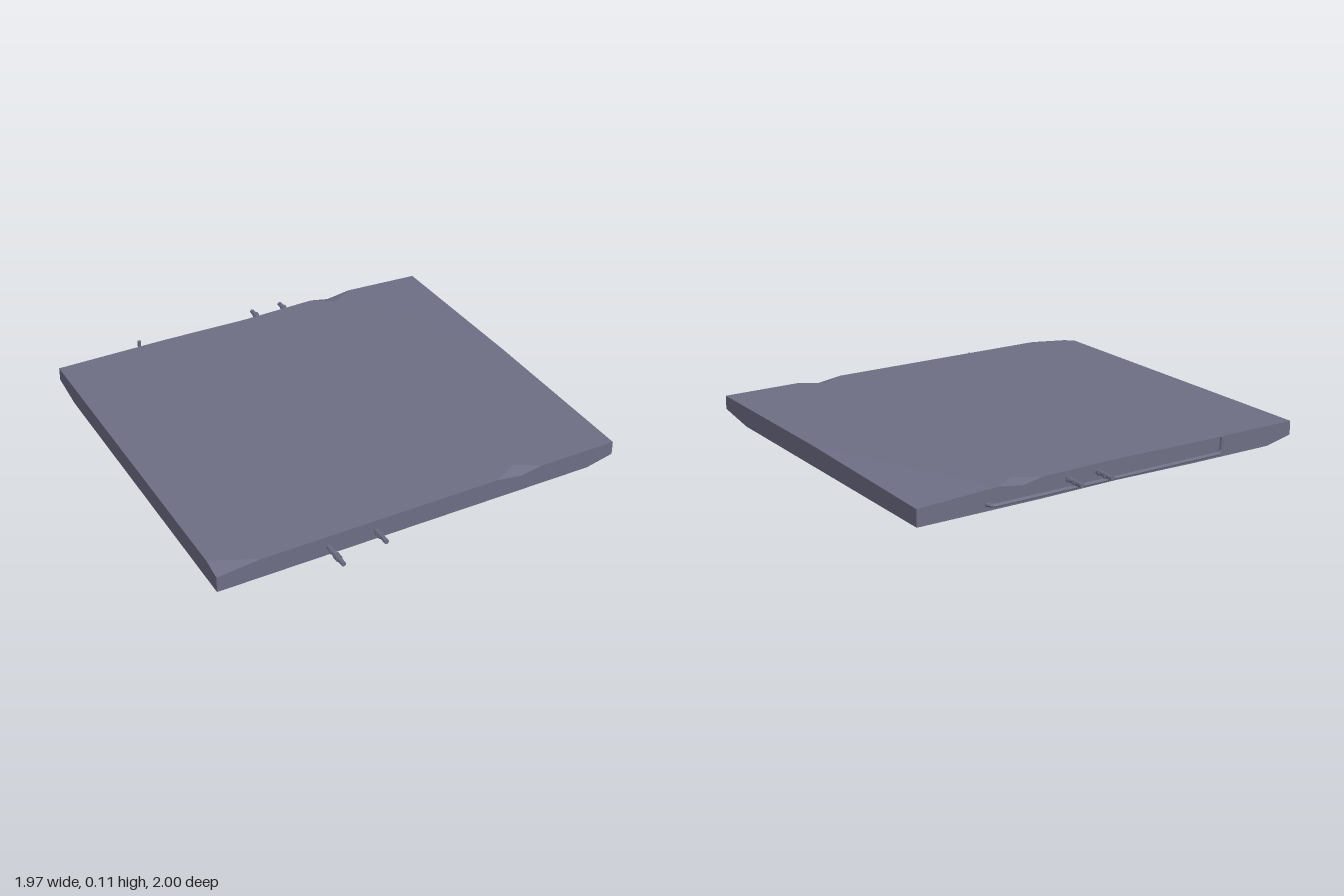
import * as THREE from 'three';

const H = 0.095;
const material = new THREE.MeshStandardMaterial({ color: 0x6e6e85, flatShading: true });

// Rim points, counter-clockwise from above. t / b give a chip in the top or
// bottom edge: [y at the rim, x and z where the chip reaches the flat face].
const rim = [
  { p: [-0.985, 0.865], t: [0.075, -0.88, 0.818] },
  { p: [-0.78, 0.865] },
  { p: [0.37, 0.865] },
  { p: [0.49, 0.865], t: [0.077, 0.49, 0.8] },
  { p: [0.6, 0.865] },
  { p: [0.85, 0.865] },
  { p: [0.983, 0.865], b: [0.03, 0.916, 0.758] },
  { p: [0.983, 0.65] },
  { p: [0.983, -0.03] },
  { p: [0.983, -0.9], t: [0.078, 0.79, -0.465] },
  { p: [0.6, -0.9] },
  { p: [0.475, -0.9], t: [0.077, 0.49, -0.83] },
  { p: [0.38, -0.9] },
  { p: [0, -0.888] },
  { p: [-0.42, -0.9] },
  { p: [-0.85, -0.9] },
  { p: [-0.985, -0.9], b: [0.03, -0.918, -0.81] },
  { p: [-0.985, -0.72] },
  { p: [-0.985, 0.77] },
];

// Slab skin: bottom fan, bottom chips, sides, top chips, top fan
function slabGeometry() {
  const columns = rim.map(({ p: [x, z], t = [H, x, z], b = [0, x, z] }) => [
    [0, 0, 0],
    [b[1], 0, b[2]],
    [x, b[0], z],
    [x, t[0], z],
    [t[1], H, t[2]],
    [0, H, 0],
  ]);
  const positions = [];
  const triangle = (...corners) => {
    const [a, b, c] = corners.map((v) => new THREE.Vector3(...v));
    const area = b.clone().sub(a).cross(c.clone().sub(a)).length();
    if (area > 1e-7) corners.forEach((v) => positions.push(...v));
  };
  columns.forEach((c, i) => {
    const d = columns[(i + 1) % columns.length];
    for (let k = 0; k < c.length - 1; k++) {
      triangle(c[k], d[k], d[k + 1]);
      triangle(c[k], d[k + 1], c[k + 1]);
    }
  });
  const geometry = new THREE.BufferGeometry();
  geometry.setAttribute('position', new THREE.Float32BufferAttribute(positions, 3));
  geometry.computeVertexNormals();
  return geometry;
}

// Straight bar along z with raised ribs
function ribbedBar(name, x, y, zStart, zEnd, ribs) {
  const bar = new THREE.Group();
  bar.name = name;
  const addPiece = (part, radius, length, z) => {
    const geometry = new THREE.CylinderGeometry(radius, radius, length, 8);
    const mesh = new THREE.Mesh(geometry.rotateX(Math.PI / 2), material);
    mesh.name = part;
    mesh.position.set(x, y, z);
    bar.add(mesh);
  };
  addPiece('barCore', 0.011, Math.abs(zEnd - zStart), (zStart + zEnd) / 2);
  ribs.forEach((z) => addPiece('barRib', 0.016, 0.01, z));
  return bar;
}

// Thin bar that leaves the back face, runs along it and turns up at its end
function bentBar() {
  const bar = new THREE.Group();
  bar.name = 'bentBar';
  const points = [
    [0.655, 0.03, -0.88],
    [0.655, 0.03, -0.905],
    [0.643, 0.03, -0.924],
    [0.622, 0.03, -0.93],
    [-0.545, 0.03, -0.93],
    [-0.556, 0.042, -0.93],
    [-0.556, 0.107, -0.93],
  ].map((v) => new THREE.Vector3(...v));
  const path = new THREE.CurvePath();
  for (let i = 1; i < points.length; i++) path.add(new THREE.LineCurve3(points[i - 1], points[i]));
  const tube = new THREE.Mesh(new THREE.TubeGeometry(path, 160, 0.009, 8), material);
  tube.name = 'bentBarTube';
  const tip = new THREE.Mesh(new THREE.CircleGeometry(0.009, 8).rotateX(-Math.PI / 2), material);
  tip.name = 'bentBarTip';
  tip.position.copy(points[points.length - 1]);
  bar.add(tube, tip);
  return bar;
}

export function createModel() {
  const model = new THREE.Group();
  model.name = 'brokenSlab';

  const slab = new THREE.Mesh(slabGeometry(), material);
  slab.name = 'slab';
  model.add(slab);

  // Bars sticking out of the front and back faces
  model.add(ribbedBar('longFrontBar', -0.47, 0.043, 0.84, 1, [0.9, 0.935, 0.955]));
  model.add(ribbedBar('shortFrontBar', -0.24, 0.043, 0.84, 0.955, [0.885, 0.905]));
  for (const x of [0.093, 0.25]) {
    model.add(ribbedBar('backBar', x, 0.06, -0.87, -1, [-0.91, -0.955]));
  }
  model.add(bentBar());
  return model;
}
